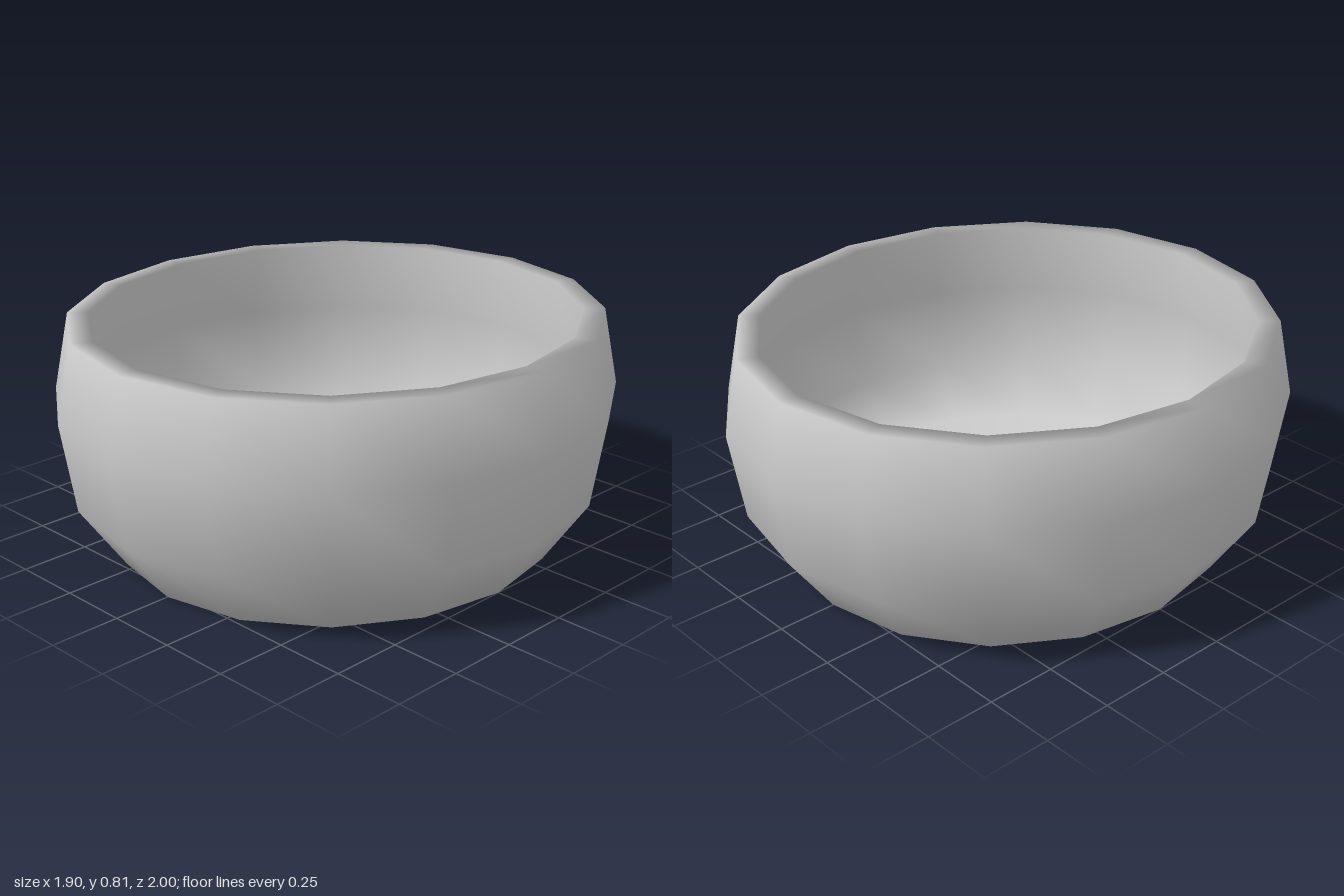
import * as THREE from 'three';

export function createModel() {
  const group = new THREE.Group();
  group.name = 'bowl';

  // Closed wall profile: underside, outer wall, rim, inner wall, floor
  const profile = [
    [0, 0], [0.79, 0], [0.95, 0.225], [1, 0.54], [0.945, 0.81],
    [0.87, 0.81], [0.925, 0.54], [0.88, 0.26], [0.74, 0.07], [0, 0.07],
  ].map(([r, y]) => new THREE.Vector2(r, y));

  // Sixteen-sided smooth shell, slightly narrower across x
  const geometry = new THREE.LatheGeometry(profile, 16);
  geometry.scale(0.95, 1, 1);

  const shell = new THREE.Mesh(geometry, new THREE.MeshStandardMaterial({ color: 0xcccccc }));
  shell.name = 'bowlShell';
  group.add(shell);
  return group;
}
